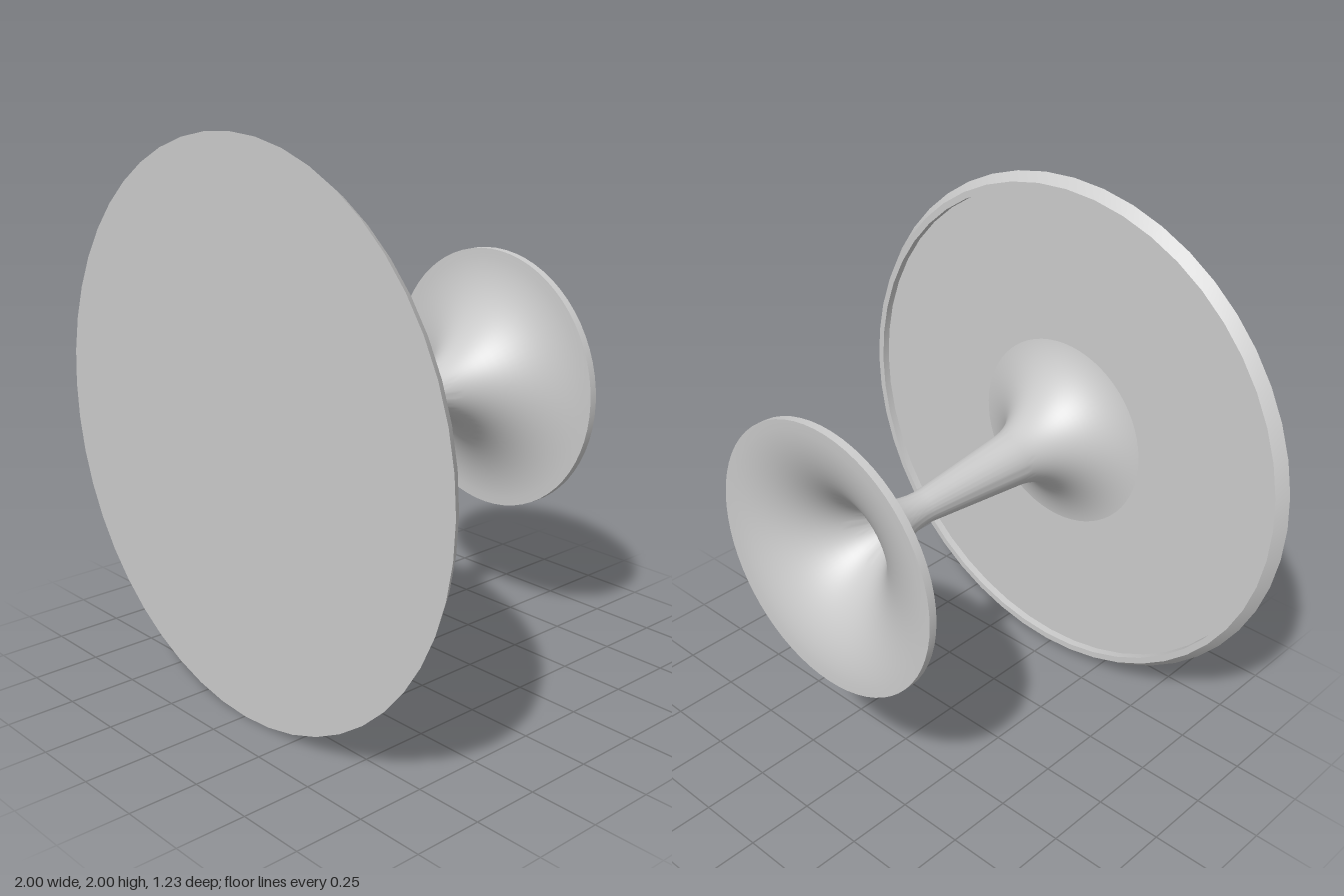
import * as THREE from 'three';
import { toCreasedNormals } from 'three/addons/utils/BufferGeometryUtils.js';

const material = new THREE.MeshStandardMaterial({ color: 0xcccccc, side: THREE.DoubleSide });

// Turned part: [radius, height] profile, its axis laid along z
function turned(name, profile, sides, crease) {
  const points = profile.map(([r, h]) => new THREE.Vector2(r, h));
  const geometry = toCreasedNormals(new THREE.LatheGeometry(points, sides), crease);
  geometry.rotateX(Math.PI / 2);
  const mesh = new THREE.Mesh(geometry, material);
  mesh.name = name;
  return mesh;
}

// Concave flare: angle 0 is the narrow waist, +-90 degrees the wide end
function flare(centreR, centreH, radius, from, to, steps = 20) {
  return Array.from({ length: steps + 1 }, (_, i) => {
    const a = THREE.MathUtils.degToRad(from + ((to - from) * i) / steps);
    return [centreR - radius * Math.cos(a), centreH + radius * Math.sin(a)];
  });
}

export function createModel() {
  const table = new THREE.Group();
  table.name = 'pedestalTable';

  // Round top with bevelled edge and a shallow recess underneath
  table.add(turned('tableTop', [
    [0, 0.603], [0.945, 0.603], [0.945, 0.572], [0.97, 0.572], [1, 0.615], [0, 0.615],
  ], 48, 0.35));

  // Hollow trumpet foot, tapered stem and upper flare in one profile
  table.add(turned('pedestal', [
    [0, -0.1],
    ...flare(0.5, -0.145, 0.47, 0, -90),
    [0.5, -0.585],
    ...flare(0.5, -0.145, 0.44, -90, 0),
    ...flare(0.44, 0.27, 0.34, 5, 88),
    [0, 0.61],
  ], 64, 0.6));

  table.position.y = 1;
  const model = new THREE.Group();
  model.add(table);
  return model;
}
